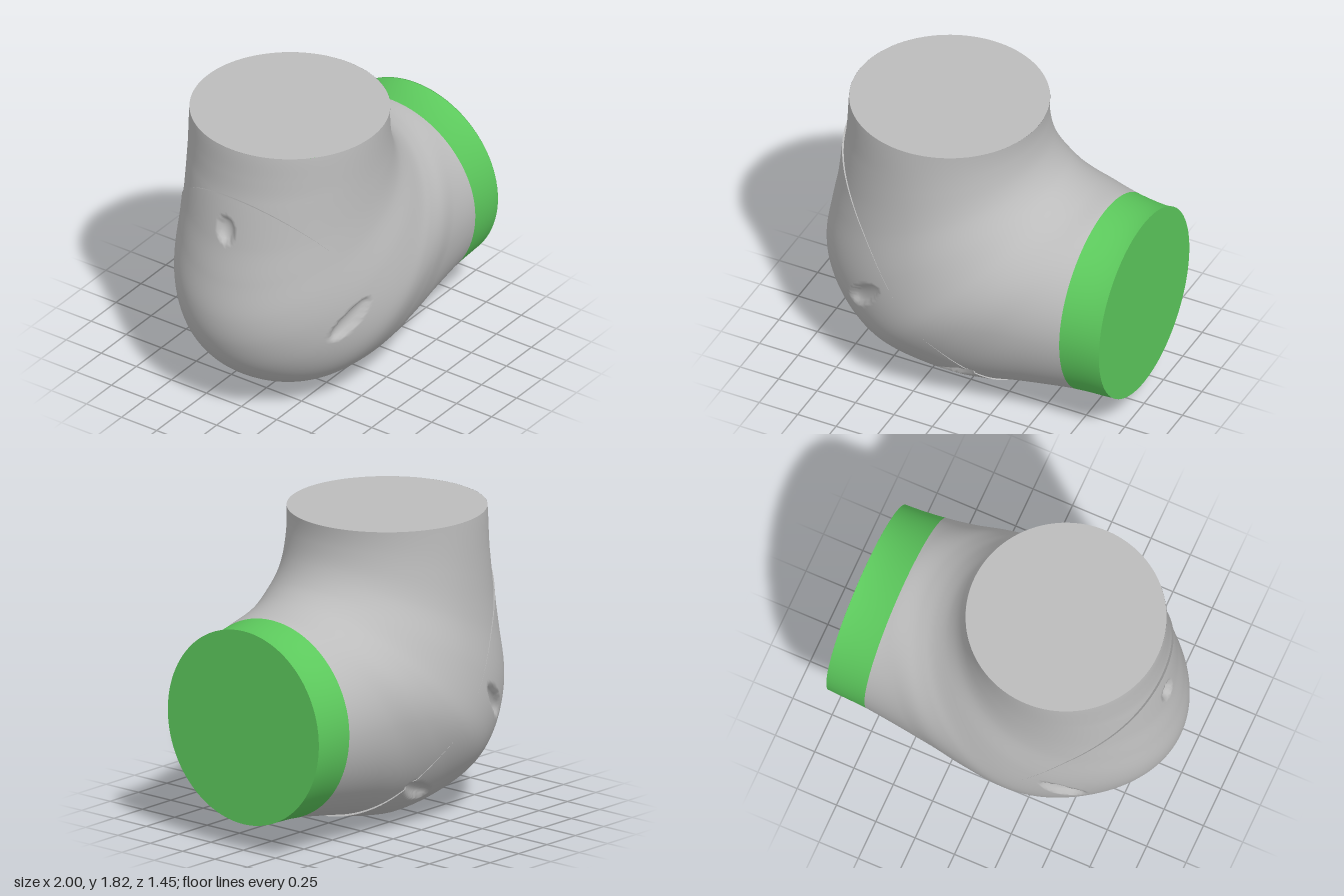
import * as THREE from 'three';

const PIVOT = new THREE.Vector2(1, 1.815); // all cross-sections fan out from here
const CAP_DIR = new THREE.Vector3(-0.766, -0.642, 0); // axis of the cover and its holes
const SEAM = CAP_DIR.dot(new THREE.Vector3(-0.885, 1.52, 0));
const N_PATH = 200, N_RING = 240;

// Profile points: x, y (and half width in z for the widest line)
const OUTER = [[-0.85, 1.815], [-0.86, 1.65], [-0.875, 1.5], [-0.92, 1.2], [-0.965, 0.97], [-1, 0.73],
  [-0.975, 0.55], [-0.88, 0.36], [-0.7, 0.19], [-0.45, 0.062], [-0.1, 0], [0.1, 0.025], [0.33, 0.078],
  [0.6, 0.125], [0.8, 0.15], [1, 0.16]];
const INNER = [[0.32, 1.815], [0.32, 1.7], [0.35, 1.57], [0.42, 1.46], [0.5, 1.4], [0.6, 1.36],
  [0.75, 1.335], [1, 1.32]];
const MIDDLE = [[-0.265, 1.815, 0.583], [-0.26, 1.5, 0.592], [-0.24, 1.25, 0.618], [-0.2, 1, 0.68],
  [-0.13, 0.8, 0.717], [-0.03, 0.735, 0.722], [0.2, 0.735, 0.69], [0.42, 0.735, 0.645],
  [0.75, 0.74, 0.6], [1, 0.74, 0.583]];

// Smooth interpolation through (t, v) pairs
function smooth(pts) {
  const slope = (i) => {
    const a = pts[Math.max(i - 1, 0)], b = pts[Math.min(i + 1, pts.length - 1)];
    return (b[1] - a[1]) / (b[0] - a[0]);
  };
  return (t) => {
    let i = 0;
    while (i < pts.length - 2 && t > pts[i + 1][0]) i++;
    const [t0, v0] = pts[i], [t1, v1] = pts[i + 1];
    const h = t1 - t0, s = THREE.MathUtils.clamp((t - t0) / h, 0, 1), s2 = s * s, s3 = s2 * s;
    return v0 * (2 * s3 - 3 * s2 + 1) + v1 * (3 * s2 - 2 * s3) +
      h * (slope(i) * (s3 - 2 * s2 + s) + slope(i + 1) * (s3 - s2));
  };
}
const angleOf = (p) => Math.atan2(PIVOT.y - p[1], PIVOT.x - p[0]);
const radial = (list) => smooth(list.map((p) => [angleOf(p), Math.hypot(PIVOT.x - p[0], PIVOT.y - p[1])]));

// Whole bend as a smooth skin with bored pockets
function elbowSkin() {
  const outer = radial(OUTER), inner = radial(INNER), middle = radial(MIDDLE);
  const width = smooth(MIDDLE.map((p) => [angleOf(p), p[2]]));
  const pos = [], index = [];
  for (let i = 0; i <= N_PATH; i++) {
    const a = (i / N_PATH) * Math.PI / 2;
    const m = middle(a), o = outer(a) - m, n = m - inner(a), w = width(a);
    for (let j = 0; j < N_RING; j++) {
      const f = (j / N_RING) * Math.PI * 2, c = Math.cos(f);
      const r = m + c * (c > 0 ? o : n);
      pos.push(PIVOT.x - r * Math.cos(a), PIVOT.y - r * Math.sin(a), w * Math.sin(f));
      if (i < N_PATH) {
        const k = i * N_RING, j1 = (j + 1) % N_RING;
        index.push(k + j, k + N_RING + j, k + N_RING + j1, k + j, k + N_RING + j1, k + j1);
      }
    }
  }
  const geo = new THREE.BufferGeometry();
  geo.setAttribute('position', new THREE.Float32BufferAttribute(pos, 3));
  geo.setIndex(index);
  geo.computeVertexNormals();

  // Screw pockets, bored parallel to the cover axis
  const holes = [[-0.92, 1.28, 0], [-0.57, 0.65, 0.605], [-0.57, 0.65, -0.605],
    [-0.04, 0.19, 0.485], [-0.04, 0.19, -0.485]].map((h) => new THREE.Vector3(...h));
  const P = geo.attributes.position, N = geo.attributes.normal;
  const p = new THREE.Vector3(), q = new THREE.Vector3(), nrm = new THREE.Vector3();
  for (let i = 0; i < P.count; i++) {
    p.fromBufferAttribute(P, i);
    nrm.fromBufferAttribute(N, i);
    for (const h of holes) {
      q.subVectors(p, h);
      if (q.length() > 0.22) continue;
      const d = q.addScaledVector(CAP_DIR, -q.dot(CAP_DIR)).length() / 0.058;
      if (d < 1) p.addScaledVector(nrm, -0.045 * Math.sqrt(1 - d * d));
    }
    P.setXYZ(i, p.x, p.y, p.z);
  }
  geo.computeVertexNormals();
  return geo;
}

function toTriangles(geo) {
  const P = geo.attributes.position, N = geo.attributes.normal, idx = geo.index.array, tris = [];
  const vert = (i) => ({
    p: new THREE.Vector3().fromBufferAttribute(P, i), n: new THREE.Vector3().fromBufferAttribute(N, i) });
  for (let i = 0; i < idx.length; i += 3) tris.push([vert(idx[i]), vert(idx[i + 1]), vert(idx[i + 2])]);
  return tris;
}

// Keep the part of the triangles where side(p) >= 0, collecting the cut edges
function clip(tris, side, cuts = []) {
  const out = [];
  for (const tri of tris) {
    const poly = [], cut = [];
    for (let i = 0; i < 3; i++) {
      const a = tri[i], b = tri[(i + 1) % 3], da = side(a.p), db = side(b.p);
      if (da >= 0) poly.push(a);
      if ((da >= 0) !== (db >= 0)) {
        const t = da / (da - db);
        const v = { p: a.p.clone().lerp(b.p, t), n: a.n.clone().lerp(b.n, t).normalize() };
        poly.push(v);
        cut.push(v);
      }
    }
    for (let i = 2; i < poly.length; i++) out.push([poly[0], poly[i - 1], poly[i]]);
    if (cut.length === 2) cuts.push(cut);
  }
  return out;
}

function triMesh(name, tris, material) {
  const pos = [], nor = [];
  for (const tri of tris) for (const v of tri) {
    pos.push(v.p.x, v.p.y, v.p.z);
    nor.push(v.n.x, v.n.y, v.n.z);
  }
  const geo = new THREE.BufferGeometry();
  geo.setAttribute('position', new THREE.Float32BufferAttribute(pos, 3));
  geo.setAttribute('normal', new THREE.Float32BufferAttribute(nor, 3));
  const mesh = new THREE.Mesh(geo, material);
  mesh.name = name;
  return mesh;
}

export function createModel() {
  const grey = new THREE.MeshStandardMaterial({ color: 0xbcbcbc, side: THREE.DoubleSide });
  grey.name = 'grey';
  const green = new THREE.MeshStandardMaterial({ color: 0x5cc85c, side: THREE.DoubleSide });
  green.name = 'green';
  const group = new THREE.Group();
  group.name = 'pipeElbow';

  const skin = toTriangles(elbowSkin());
  const bandSide = (p) => p.x - 0.75, capSide = (p) => p.dot(CAP_DIR) - SEAM;
  const rest = clip(skin, (p) => -bandSide(p));
  const cuts = [];
  const cover = clip(rest, capSide, cuts);

  // Cover stands slightly proud along its seam, fading to flush at the sides
  const raise = (v) => {
    const lift = 0.012 * Math.max(0, 1 - (v.p.z / 0.7) ** 2) * Math.exp(-Math.max(0, capSide(v.p)) / 0.15);
    return { p: v.p.clone().addScaledVector(v.n, lift), n: v.n };
  };
  const ledgeNormal = CAP_DIR.clone().negate();
  const ledge = cuts.flatMap(([a, b]) => {
    const [a0, b0, b1, a1] = [a, b, raise(b), raise(a)].map((v) => ({ p: v.p, n: ledgeNormal }));
    const facing = new THREE.Vector3().subVectors(b0.p, a0.p)
      .cross(new THREE.Vector3().subVectors(b1.p, a0.p)).dot(ledgeNormal);
    return facing >= 0 ? [[a0, b0, b1], [a0, b1, a1]] : [[a0, b1, b0], [a0, a1, b1]];
  });

  group.add(triMesh('elbowBody', clip(rest, (p) => -capSide(p)), grey));
  group.add(triMesh('elbowCover', cover.map((t) => t.map(raise)), grey));
  group.add(triMesh('coverLedge', ledge, grey));
  group.add(triMesh('endBand', clip(skin, bandSide), green));

  // Flat closed ends
  const disc = new THREE.CircleGeometry(0.584, 96);
  const top = new THREE.Mesh(disc, grey);
  top.name = 'topEnd';
  top.rotation.x = -Math.PI / 2;
  top.position.set(-0.265, 1.815, 0);
  const end = new THREE.Mesh(disc, green);
  end.name = 'sideEnd';
  end.rotation.y = Math.PI / 2;
  end.position.set(1, 0.74, 0);
  group.add(top, end);
  return group;
}
